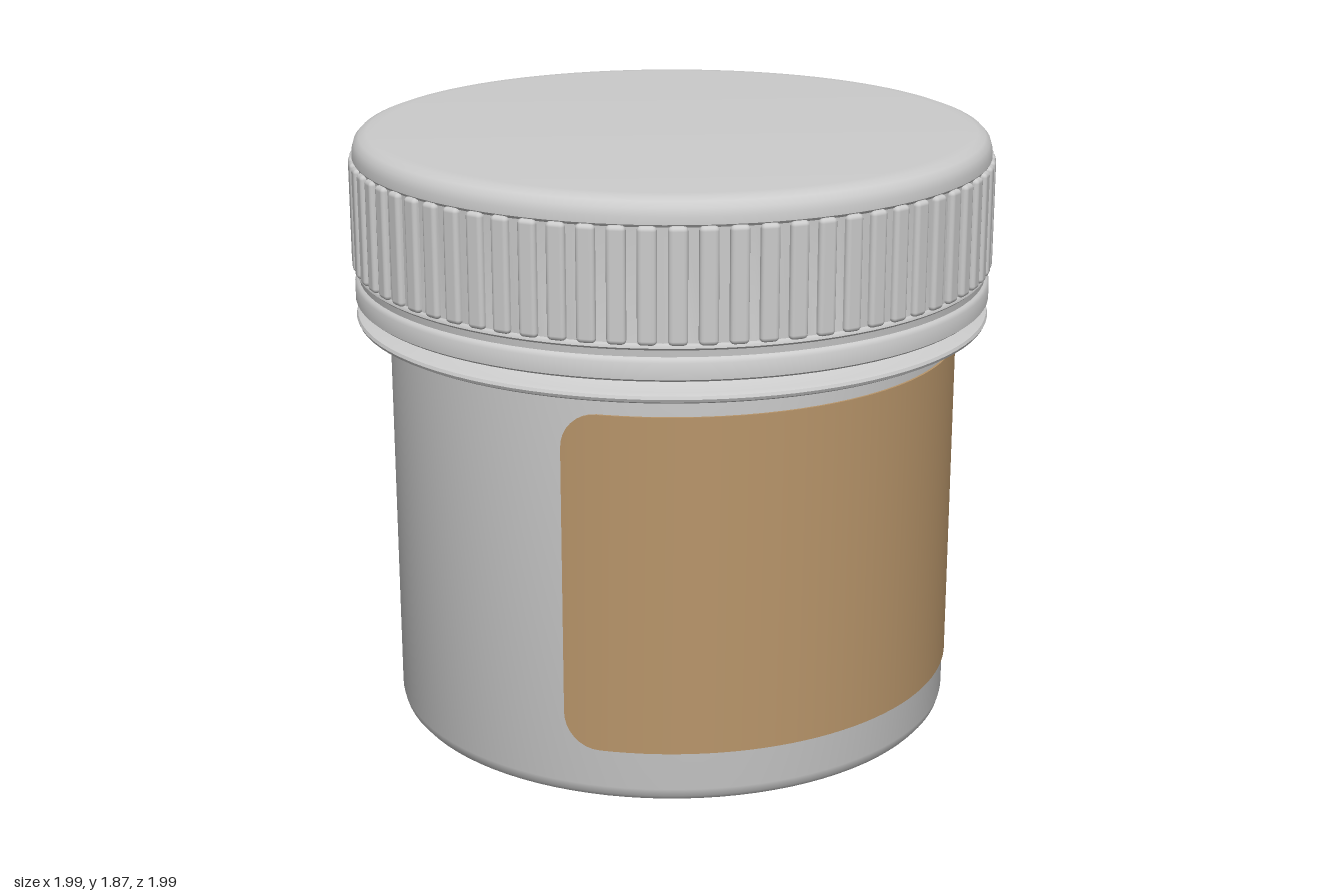
import * as THREE from 'three';
import { mergeGeometries, toCreasedNormals } from 'three/addons/utils/BufferGeometryUtils.js';
import { RoundedBoxGeometry } from 'three/addons/geometries/RoundedBoxGeometry.js';

const SEGMENTS = 96;

function addMesh(group, name, geometry, color = 0xcccccc) {
  const mesh = new THREE.Mesh(geometry, new THREE.MeshStandardMaterial({ color }));
  mesh.name = name;
  group.add(mesh);
}

// Turned part from [radius, height] pairs running up the outside
function turned(profile) {
  const points = profile.map(([r, y]) => new THREE.Vector2(r, y));
  return toCreasedNormals(new THREE.LatheGeometry(points, SEGMENTS), 0.6);
}

// Upright grip ribs around the lid
function gripRibs(count, radius) {
  const ribs = [];
  for (let i = 0; i < count; i++) {
    const rib = new RoundedBoxGeometry(0.056, 0.34, 0.04, 2, 0.014);
    rib.translate(0, 1.63, radius - 0.02);
    rib.rotateY((i / count) * Math.PI * 2);
    ribs.push(rib);
  }
  return mergeGeometries(ribs);
}

// Thin wrapped label with rounded corners; angles run from +z towards +x
function wrappedLabel(start, end, bottom, top, corner, inner, outer) {
  const length = (end - start) * outer;
  const columns = [[0, corner, inner]]; // [arc distance, corner inset, radius]
  const steps = 8;
  for (let i = 0; i <= steps; i++) {
    const a = (i / steps) * Math.PI / 2;
    columns.push([corner * (1 - Math.cos(a)), corner * (1 - Math.sin(a)), outer]);
  }
  for (let i = 1; i < 70; i++) columns.push([corner + (length - 2 * corner) * i / 70, 0, outer]);
  for (let i = steps + 1; i >= 0; i--) columns.push([length - columns[i][0], columns[i][1], columns[i][2]]);

  const geometry = new THREE.PlaneGeometry(1, 1, columns.length - 1, 3);
  const position = geometry.attributes.position;
  for (let row = 0; row < 4; row++) {
    columns.forEach(([s, inset, radius], i) => {
      const angle = start + s / outer;
      const r = row === 0 || row === 3 ? inner : radius;
      const y = row < 2 ? top - inset : bottom + inset;
      position.setXYZ(row * columns.length + i, r * Math.sin(angle), y, r * Math.cos(angle));
    });
  }
  return toCreasedNormals(geometry, 0.6);
}

export function createModel() {
  const model = new THREE.Group();
  model.name = 'jar';

  addMesh(model, 'body', turned([
    [0, 0.005], [0.845, 0.005], [0.867, 0.011], [0.88, 0.026], [0.886, 0.05],
    [0.886, 1.285], [0.97, 1.288], [0.984, 1.295], [0.988, 1.304], [0.984, 1.313],
    [0.97, 1.319], [0.915, 1.324], [0.9, 1.335], [0.895, 1.35], [0.895, 1.42], [0, 1.42],
  ]));

  addMesh(model, 'label',
    wrappedLabel(THREE.MathUtils.degToRad(-57), THREE.MathUtils.degToRad(160), 0.17, 1.22, 0.11, 0.88, 0.893),
    0xb8956a);

  const lid = new THREE.Group();
  lid.name = 'lid';
  model.add(lid);

  // Lower band, groove, grip wall and rounded top edge
  addMesh(lid, 'lidShell', turned([
    [0.88, 1.41], [0.92, 1.39], [0.925, 1.355], [0.98, 1.355], [0.989, 1.362],
    [0.989, 1.41], [0.983, 1.42], [0.976, 1.425], [0.978, 1.445], [0.986, 1.452],
    [0.984, 1.46], [0.979, 1.465], [0.979, 1.795], [0.985, 1.803], [0.984, 1.825],
    [0.977, 1.848], [0.962, 1.864], [0.938, 1.873], [0.905, 1.875], [0, 1.875],
  ]));
  addMesh(lid, 'gripRibs', gripRibs(72, 0.996));

  return model;
}
